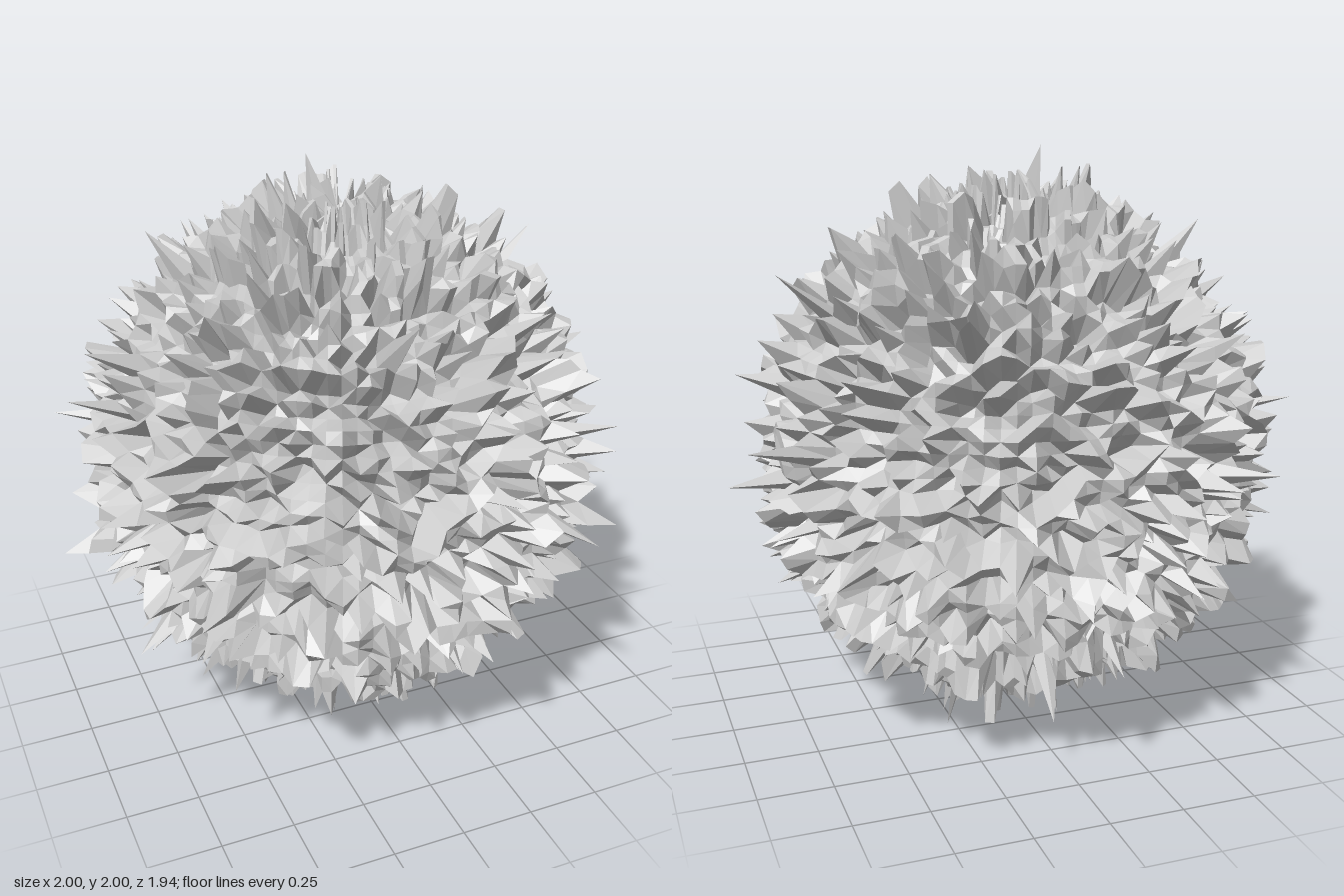
import * as THREE from 'three';

const COLS = 100, ROWS = 64, STRIDE = COLS + 1;
const CENTRE = new THREE.Vector3(-0.02, 0.975, -0.02);

// Longest spikes, as tip positions; they set the outline of the ball
const TIPS = [
  [-0.1, 2, -0.1], [0.1, 0, -0.05], [1, 0.94, -0.18], [-1, 0.64, -0.18],
  [0.22, 0.94, 0.97], [0.3, 0.77, -0.97], [0.96, 1.1, -0.38], [0.82, 1.62, -0.2],
  [-0.1, 1.71, 0.78], [-0.98, 1.33, 0.06], [-0.92, 1.5, 0.1], [0.05, 0.65, -0.96],
  [0.67, 1, -0.8], [0.51, 0.9, 0.87], [-0.64, 1, -0.83], [-0.77, 0.31, 0.05],
  [0.67, 0.34, 0.05], [0.05, 0.18, -0.65],
].map(p => new THREE.Vector3(...p));

// Small seeded generator
function makeRandom(seed) {
  return () => {
    seed = (seed + 0x6d2b79f5) | 0;
    let t = Math.imul(seed ^ (seed >>> 15), 1 | seed);
    t = (t + Math.imul(t ^ (t >>> 7), 61 | t)) ^ t;
    return ((t ^ (t >>> 14)) >>> 0) / 4294967296;
  };
}

// Largest radius along a direction that stays inside the overall size
function limit(d) {
  const reach = (c, v, lo, hi) => (v > 0 ? hi - c : c - lo) / Math.max(Math.abs(v), 1e-6);
  return Math.min(1.05,
    reach(CENTRE.x, d.x, -0.97, 0.97),
    reach(CENTRE.y, d.y, 0.03, 1.93),
    reach(CENTRE.z, d.z, -0.95, 0.94));
}

// One ring of radii; rings near the poles hold fewer, wider steps
function ringRadii(row, bell) {
  const steps = Math.max(1, Math.round(COLS * Math.sqrt(Math.sin(Math.PI * row / ROWS))));
  const values = Array.from({ length: steps }, () => 0.83 + 0.063 * bell());
  return Array.from({ length: STRIDE }, (_, col) => values[Math.floor((col % COLS) * steps / COLS)]);
}

function spikyGeometry() {
  const random = makeRandom(7);
  const bell = () => Math.sqrt(-2 * Math.log(1 - random())) * Math.cos(2 * Math.PI * random());
  const geometry = new THREE.SphereGeometry(1, COLS, ROWS);
  const pos = geometry.attributes.position;
  const points = [], dirs = [];

  for (let row = 0; row <= ROWS; row++) {
    const radii = ringRadii(row, bell);
    for (let col = 0; col <= COLS; col++) {
      const d = new THREE.Vector3().fromBufferAttribute(pos, dirs.length).normalize();
      const r = THREE.MathUtils.clamp(radii[col], 0.66, limit(d));
      dirs.push(d);
      points.push(d.clone().multiplyScalar(r).add(CENTRE));
    }
  }

  // Pull the nearest grid point out to each long tip
  for (const tip of TIPS) {
    const aim = tip.clone().sub(CENTRE).normalize();
    let best = STRIDE + 1;
    dirs.forEach((d, i) => {
      if (i % STRIDE % COLS > 0 && d.dot(aim) > dirs[best].dot(aim)) best = i;
    });
    points[best].copy(tip);
  }

  // Split every four-sided cell along its shorter diagonal
  const index = [];
  for (let row = 0; row < ROWS; row++) {
    for (let col = 0; col < COLS; col++) {
      const b = row * STRIDE + col, a = b + 1, c = b + STRIDE, d = c + 1;
      if (row === 0) index.push(b, c, d);
      else if (row === ROWS - 1) index.push(a, b, c);
      else if (points[b].distanceTo(points[d]) < points[a].distanceTo(points[c])) index.push(a, b, d, b, c, d);
      else index.push(a, b, c, a, c, d);
    }
  }
  geometry.setIndex(index);
  points.forEach((p, i) => pos.setXYZ(i, p.x, p.y, p.z));
  geometry.computeVertexNormals();
  return geometry;
}

export function createModel() {
  const group = new THREE.Group();
  group.name = 'spikyBall';
  const material = new THREE.MeshStandardMaterial({ color: 0xcccccc, flatShading: true });
  const shell = new THREE.Mesh(spikyGeometry(), material);
  shell.name = 'spikyShell';
  group.add(shell);
  return group;
}
